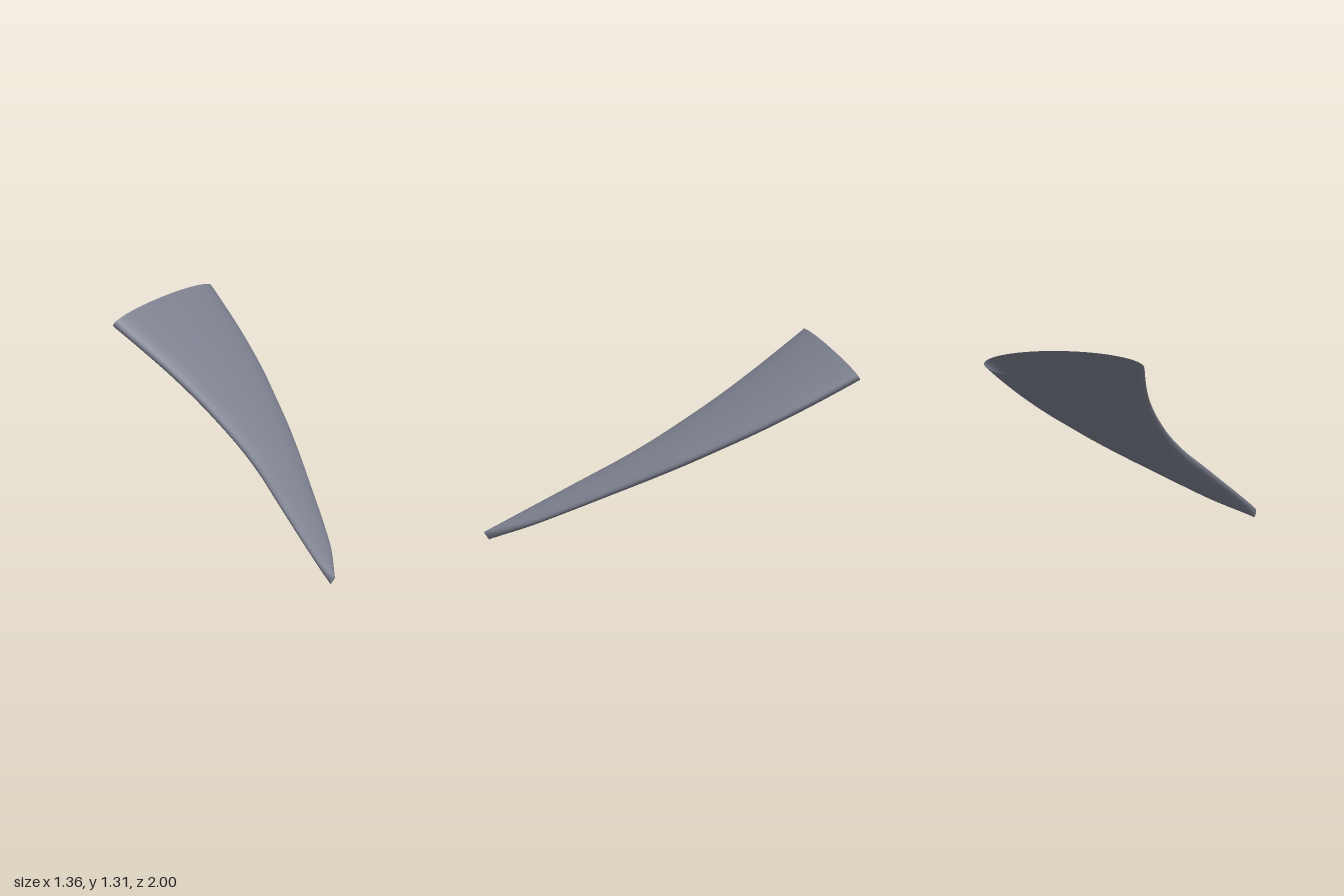
import * as THREE from 'three';

// Stations along the horn: [fraction of length, right edge x, left edge x]
const STATIONS = [
  [0, -0.68, -0.66], [0.03, -0.672, -0.585], [0.1, -0.625, -0.435], [0.2, -0.545, -0.272],
  [0.3, -0.463, -0.12], [0.4, -0.38, 0.03], [0.5, -0.323, 0.172], [0.6, -0.291, 0.298],
  [0.7, -0.274, 0.418], [0.8, -0.275, 0.518], [0.9, -0.291, 0.602], [1, -0.315, 0.675],
];

// Flattened tube lofted from elliptical rings, open at both ends
function hornGeometry(rings = 66, sides = 48) {
  const edges = new THREE.CatmullRomCurve3(STATIONS.map((p) => new THREE.Vector3(...p)));
  const start = new THREE.Vector3(0, 0.03, 0.983);
  const end = new THREE.Vector3(0, 1.233, -0.945);
  const axis = end.clone().sub(start).normalize();
  const across = new THREE.Vector3(0, -axis.z, axis.y); // thickness direction
  const positions = [];
  const index = [];
  for (let i = 0; i <= rings; i++) {
    const { x: s, y: x0, z: x1 } = edges.getPoint(i / rings);
    const centre = start.clone().lerp(end, s);
    const halfWidth = (x1 - x0) / 2;
    const halfThickness = 0.03 + 0.069 * s;
    for (let j = 0; j < sides; j++) {
      const angle = (j / sides) * Math.PI * 2;
      const p = centre.clone().addScaledVector(across, halfThickness * Math.sin(angle));
      p.x = (x0 + x1) / 2 + halfWidth * Math.cos(angle);
      positions.push(p.x, p.y, p.z);
      if (i === rings) continue;
      const a = i * sides + j;
      const b = i * sides + ((j + 1) % sides);
      index.push(a, a + sides, b, b, a + sides, b + sides);
    }
  }
  const geometry = new THREE.BufferGeometry();
  geometry.setAttribute('position', new THREE.Float32BufferAttribute(positions, 3));
  geometry.setIndex(index);
  geometry.computeVertexNormals();
  return geometry;
}

export function createModel() {
  const group = new THREE.Group();
  group.name = 'flattenedHorn';
  const slate = new THREE.MeshStandardMaterial({ color: 0x7c808e, side: THREE.DoubleSide });
  slate.name = 'slateGrey';
  const horn = new THREE.Mesh(hornGeometry(), slate);
  horn.name = 'hornShell';
  group.add(horn);
  return group;
}
